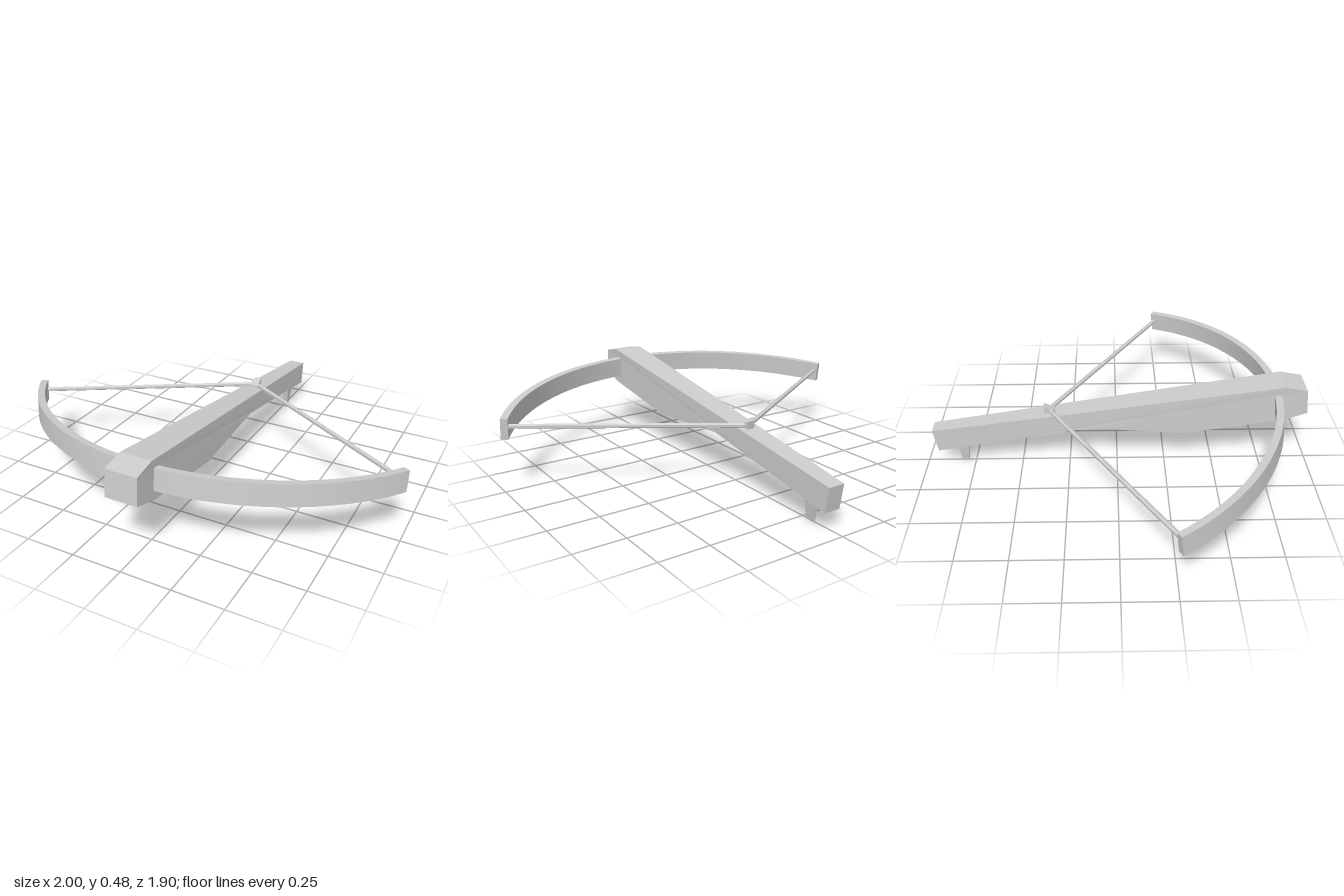
import * as THREE from 'three';
import { toCreasedNormals } from 'three/addons/utils/BufferGeometryUtils.js';

const material = new THREE.MeshStandardMaterial({ color: 0xcccccc });
const flat = new THREE.MeshStandardMaterial({ color: 0xcccccc, flatShading: true });

function part(name, geometry, mat = flat) {
  const mesh = new THREE.Mesh(geometry, mat);
  mesh.name = name;
  return mesh;
}

// Extrudes a [z, y] side profile across x, centred; halfWidth(z) gives the taper.
function sideExtrude(points, halfWidth) {
  const shape = new THREE.Shape(points.map(([z, y]) => new THREE.Vector2(z, y)));
  const geo = new THREE.ExtrudeGeometry(shape, { depth: 2, bevelEnabled: false });
  geo.translate(0, 0, -1).rotateY(-Math.PI / 2);
  const pos = geo.attributes.position;
  for (let i = 0; i < pos.count; i++) pos.setX(i, pos.getX(i) * halfWidth(pos.getZ(i), pos.getY(i)));
  geo.computeVertexNormals();
  return geo;
}

// Straight rod between two points
function rod(name, a, b, radius) {
  const dir = b.clone().sub(a);
  const mesh = part(name, new THREE.CylinderGeometry(radius, radius, dir.length(), 6));
  mesh.position.copy(a).add(b).multiplyScalar(0.5);
  mesh.quaternion.setFromUnitVectors(new THREE.Vector3(0, 1, 0), dir.normalize());
  return mesh;
}

export function createModel() {
  const model = new THREE.Group();
  model.name = 'crossbow';

  // Stock: angular side profile, narrowing towards the butt
  model.add(part('stock', sideExtrude([
    [-0.93, 0.09], [-0.15, 0.235], [0.34, 0.205], [0.83, 0.287], [0.955, 0.33],
    [0.94, 0.46], [0.83, 0.48], [-0.95, 0.213],
  ], z => 0.042 + 0.037 * Math.min(1, (z + 0.95) / 1.8))));

  // Bow: curved band, tilted to follow the stock
  const outer = 1.15, inner = 1.115, centreZ = -0.327, spread = 1.053;
  const arc = new THREE.Shape();
  arc.absarc(0, centreZ, outer, Math.PI / 2 - spread, Math.PI / 2 + spread, false);
  arc.absarc(0, centreZ, inner, Math.PI / 2 + spread, Math.PI / 2 - spread, true);
  const band = new THREE.ExtrudeGeometry(arc, { depth: 0.105, bevelEnabled: false, curveSegments: 28 });
  band.rotateX(Math.PI / 2);
  const bow = part('bow', toCreasedNormals(band, 0.5), material);
  bow.rotation.x = -0.115;
  bow.position.y = 0.342;
  model.add(bow);

  // String: two straight halves drawn back to the catch
  for (const side of [1, -1]) {
    model.add(rod(side > 0 ? 'stringLeft' : 'stringRight',
      new THREE.Vector3(0.965 * side, 0.326, 0.25),
      new THREE.Vector3(0, 0.314, -0.348), 0.012));
  }

  // Catch: small wedge holding the string
  model.add(part('catch', sideExtrude([
    [-0.365, 0.285], [-0.315, 0.285], [-0.318, 0.318], [-0.373, 0.342],
  ], () => 0.019)));

  // Trigger: peg tapering downwards under the butt
  model.add(part('trigger', sideExtrude([
    [-0.82, 0], [-0.787, 0.005], [-0.772, 0.13], [-0.834, 0.13],
  ], (z, y) => 0.01 + 0.09 * y)));

  return model;
}
